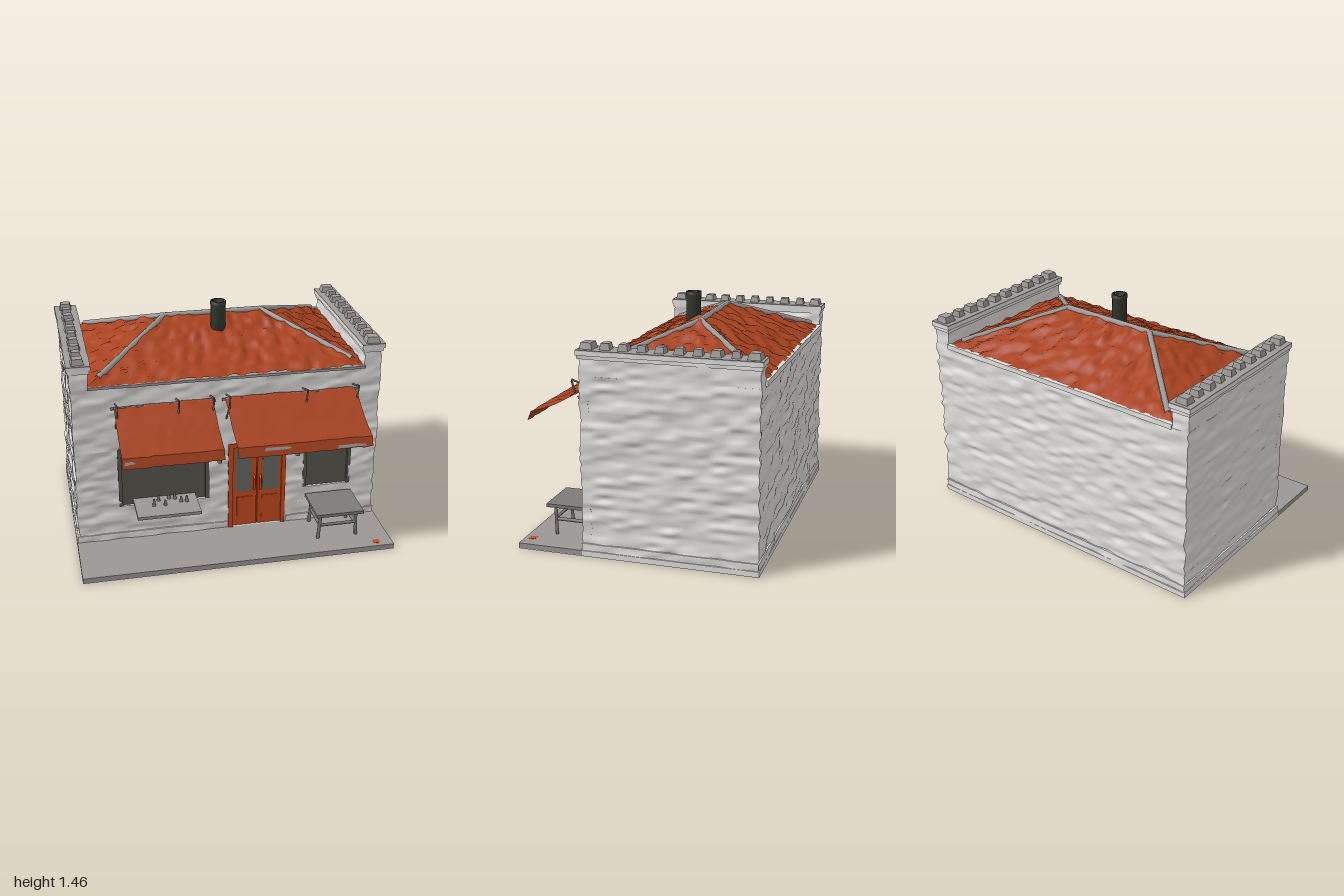
import * as THREE from 'three';

const mat = (name, color, side = THREE.FrontSide) =>
  Object.assign(new THREE.MeshStandardMaterial({ color, side }), { name });

// Smooth seeded value noise, about -1..1
const hash = (x, y, z) => {
  const s = Math.sin(x * 127.1 + y * 311.7 + z * 74.7) * 43758.5453;
  return (s - Math.floor(s)) * 2 - 1;
};
function noise(x, y, z) {
  const i = [x, y, z].map(Math.floor);
  const [u, v, w] = [x - i[0], y - i[1], z - i[2]].map(t => t * t * (3 - 2 * t));
  let sum = 0;
  for (let a = 0; a < 2; a++) for (let b = 0; b < 2; b++) for (let c = 0; c < 2; c++)
    sum += hash(i[0] + a, i[1] + b, i[2] + c) * (a ? u : 1 - u) * (b ? v : 1 - v) * (c ? w : 1 - w);
  return sum;
}

export function createModel() {
  const stone = mat('stone', 0xe2e0de);
  const paving = mat('paving', 0x9b9795);
  const trim = mat('trim', 0xa09c99, THREE.DoubleSide);
  const roofTile = mat('roofTile', 0xa84220, THREE.DoubleSide);
  const canvas = mat('canvas', 0xa34121, THREE.DoubleSide);
  const doorPaint = mat('doorPaint', 0xc64a20);
  const glass = mat('glass', 0x5a574d);
  const doorGlass = mat('doorGlass', 0x686962);
  const iron = mat('iron', 0x34362d);
  const wood = mat('wood', 0x7e7a77);

  const model = new THREE.Group();
  model.name = 'shop';
  const add = (name, geo, material, parent = model) => {
    const m = new THREE.Mesh(geo, material);
    m.name = name;
    parent.add(m);
    return m;
  };
  const group = name => {
    const g = new THREE.Group();
    g.name = name;
    model.add(g);
    return g;
  };
  // Box given by its limits
  const box = (name, x0, x1, y0, y1, z0, z1, material, parent) => {
    const g = new THREE.BoxGeometry(x1 - x0, y1 - y0, z1 - z0);
    g.translate((x0 + x1) / 2, (y0 + y1) / 2, (z0 + z1) / 2);
    return add(name, g, material, parent);
  };
  // Box whose sides undulate like coursed rubble
  const stoneBox = (name, x0, x1, y0, y1, z0, z1, material, amp, parent) => {
    const n = (d, s) => Math.max(1, Math.round(d / s));
    const g = new THREE.BoxGeometry(x1 - x0, y1 - y0, z1 - z0,
      n(x1 - x0, 0.025), n(y1 - y0, 0.014), n(z1 - z0, 0.025));
    g.translate((x0 + x1) / 2, (y0 + y1) / 2, (z0 + z1) / 2);
    const p = g.attributes.position;
    for (let i = 0; i < p.count; i++) {
      const x = p.getX(i), y = p.getY(i), z = p.getZ(i);
      p.setX(i, x + amp * noise(x * 10, y * 30, z * 10));
      p.setZ(i, z + amp * noise(x * 10 + 40, y * 30, z * 10));
    }
    g.computeVertexNormals();
    return add(name, g, material, parent);
  };
  // Bilinear patch a-b (lower edge), d-c (upper edge), with bumps in y
  const patch = (name, a, b, c, d, nu, nv, amp, material, parent) => {
    const pos = [], idx = [];
    for (let j = 0; j <= nv; j++) for (let i = 0; i <= nu; i++) {
      const u = i / nu, v = j / nv;
      const [x, y, z] = [0, 1, 2].map(k =>
        (a[k] * (1 - u) + b[k] * u) * (1 - v) + (d[k] * (1 - u) + c[k] * u) * v);
      pos.push(x, y + amp * noise(x * 26, 5, z * 20), z);
      if (i < nu && j < nv) {
        const k = j * (nu + 1) + i;
        idx.push(k, k + 1, k + nu + 2, k, k + nu + 2, k + nu + 1);
      }
    }
    const g = new THREE.BufferGeometry();
    g.setAttribute('position', new THREE.Float32BufferAttribute(pos, 3));
    g.setIndex(idx);
    g.computeVertexNormals();
    return add(name, g, material, parent);
  };
  const rod = (name, pts, r, material, parent) => {
    const path = new THREE.CurvePath();
    const v = pts.map(p => new THREE.Vector3(...p));
    for (let i = 1; i < v.length; i++) path.add(new THREE.LineCurve3(v[i - 1], v[i]));
    return add(name, new THREE.TubeGeometry(path, 8 * (v.length - 1), r, 6), material, parent);
  };

  // Foundation, pavement and base course
  box('foundation', -0.99, 0.99, 0, 0.035, -0.74, 0.34, stone);
  box('pavement', -0.99, 0.99, 0.004, 0.035, 0.34, 0.75, paving);
  box('pavementUnderside', -0.99, 0.99, 0, 0.004, 0.34, 0.75, stone);
  box('pavementMark', 0.87, 0.91, 0.035, 0.037, 0.68, 0.72, doorPaint);
  stoneBox('baseCourse', -0.985, 0.985, 0.036, 0.08, -0.738, 0.3, stone, 0.006);
  for (const [x0, x1] of [[-0.985, -0.01], [0.38, 0.985]])
    stoneBox('frontBaseCourse', x0, x1, 0.036, 0.08, 0.28, 0.344, stone, 0.006);

  // Walls, with a front skin built around the openings
  stoneBox('walls', -0.975, 0.975, 0.036, 1.1, -0.73, 0.295, stone, 0.012);
  const front = group('frontWall');
  [[-0.975, 0.975, 0.67, 1.1], [-0.975, -0.70, 0.036, 0.67], [-0.70, -0.14, 0.036, 0.27],
    [-0.14, 0, 0.036, 0.67], [0, 0.37, 0.64, 0.67], [0.37, 0.50, 0.036, 0.67],
    [0.50, 0.80, 0.036, 0.28], [0.80, 0.975, 0.036, 0.67]]
    .forEach(([x0, x1, y0, y1]) => stoneBox('frontStone', x0, x1, y0, y1, 0.28, 0.337, stone, 0.01, front));

  // Shop windows
  for (const [x0, x1, y0] of [[-0.70, -0.14, 0.27], [0.50, 0.80, 0.28]]) {
    const f = group('window');
    box('windowGlass', x0 - 0.01, x1 + 0.01, y0 - 0.01, 0.68, 0.3, 0.322, glass, f);
    box('frameSide', x0 - 0.01, x0 + 0.014, y0, 0.67, 0.3, 0.342, glass, f);
    box('frameSide', x1 - 0.014, x1 + 0.01, y0, 0.67, 0.3, 0.342, glass, f);
    box('frameTop', x0, x1, 0.655, 0.68, 0.3, 0.342, glass, f);
  }

  // Double door
  const door = group('door');
  box('doorFrame', -0.005, 0.372, 0.035, 0.645, 0.29, 0.32, doorPaint, door);
  for (const [x0, x1] of [[-0.005, 0.025], [0.345, 0.372]])
    box('jamb', x0, x1, 0.035, 0.645, 0.3, 0.348, doorPaint, door);
  box('lintel', -0.005, 0.372, 0.615, 0.645, 0.3, 0.348, doorPaint, door);
  for (const s of [-1, 1]) {
    const cx = 0.185 + s * 0.083, gx = cx + s * 0.006;
    box('leaf', cx - 0.08, cx + 0.08, 0.04, 0.615, 0.3, 0.336, doorPaint, door);
    box('doorPane', gx - 0.054, gx + 0.054, 0.29, 0.6, 0.333, 0.339, doorGlass, door);
    box('lowerPanel', cx - 0.05, cx + 0.05, 0.08, 0.25, 0.33, 0.341, doorPaint, door);
    rod('handle', [[0.185 + s * 0.02, 0.3, 0.336], [0.185 + s * 0.02, 0.31, 0.355],
      [0.185 + s * 0.02, 0.39, 0.355], [0.185 + s * 0.02, 0.4, 0.336]], 0.008, doorPaint, door);
  }

  // Parapets with cap and rough merlons
  for (const s of [-1, 1]) {
    const span = (a, b) => (s > 0 ? [a, b] : [-b, -a]);
    const g = group('parapet');
    stoneBox('parapetWall', ...span(0.865, 0.975), 1.08, 1.22, -0.73, 0.338, stone, 0.009, g);
    stoneBox('corbel', ...span(0.855, 0.984), 1.2, 1.225, -0.737, 0.345, stone, 0.004, g);
    stoneBox('cap', ...span(0.845, 0.992), 1.222, 1.248, -0.743, 0.35, stone, 0.003, g);
    stoneBox('capTop', ...span(0.845, 0.992), 1.248, 1.254, -0.743, 0.35, trim, 0.003, g);
    for (let i = 0; i < 10; i++) {
      const end = i === 0 || i === 9;
      const r = (end ? 0.056 : 0.045) + 0.005 * hash(i, s, 2);
      const geo = new THREE.CylinderGeometry(r * 0.75, r, 0.044, 4, 1).toNonIndexed();
      geo.rotateY(Math.PI / 4);
      geo.computeVertexNormals();
      const m = add('merlon', geo, trim, g);
      m.position.set(s * 0.92, 1.27, 0.295 - i * 0.109);
      m.scale.set(1.1, 1, end ? 1 : 0.95);
      m.rotation.y = 0.12 * hash(i, s, 7);
    }
  }

  // Hipped roof
  const roof = group('roof');
  const E = 1.115, R = 1.342, X = 0.87, F = 0.345, B = -0.735, zr = -0.2, xr = 0.32;
  const fl = [-X, E, F], fr = [X, E, F], bl = [-X, E, B], br = [X, E, B];
  const rl = [-xr, R, zr], rr = [xr, R, zr];
  patch('frontSlope', fl, fr, rr, rl, 64, 26, 0.017, roofTile, roof);
  patch('backSlope', br, bl, rl, rr, 64, 26, 0.017, roofTile, roof);
  patch('leftHip', fr, br, rr, rr, 44, 24, 0.017, roofTile, roof);
  patch('rightHip', bl, fl, rl, rl, 44, 24, 0.017, roofTile, roof);
  rod('ridge', [[-xr, R - 0.006, zr], [xr, R - 0.006, zr]], 0.019, trim, roof);
  for (const s of [-1, 1]) for (const z of [0.275, -0.675])
    rod('hipCap', [[s * xr, R - 0.006, zr], [s * 0.8, E + 0.028, z]], 0.019, trim, roof);
  stoneBox('frontEave', -0.87, 0.87, 1.095, 1.112, 0.28, 0.35, trim, 0.004, roof);
  stoneBox('backEave', -0.87, 0.87, 1.09, 1.122, -0.742, -0.715, stone, 0.005, roof);

  // Chimney pipe
  const pipe = [[0, 1.22], [0.047, 1.22], [0.047, 1.43], [0.05, 1.435], [0.05, 1.46], [0.034, 1.46], [0.034, 1.4], [0, 1.4]];
  add('chimney', new THREE.LatheGeometry(pipe.map(p => new THREE.Vector2(...p)), 14), iron).position.set(0.01, 0, -0.065);

  // Awnings with valance and iron brackets
  const fold = [[0.975, 0.345], [0.945, 0.43], [0.872, 0.56], [0.815, 0.725], [0.755, 0.748]];
  for (const [x0, x1] of [[-0.72, -0.11], [-0.03, 0.805]]) {
    const g = group('awning');
    for (let i = 0; i < fold.length - 1; i++) {
      const [y1, z1] = fold[i], [y0, z0] = fold[i + 1];
      patch('awningCloth', [x0, y0, z0], [x1, y0, z0], [x1, y1, z1], [x0, y1, z1], 16, 3, 0.005, canvas, g);
    }
    for (const x of [x0 + 0.01, (x0 + x1) / 2 + 0.08, x1 - 0.01]) {
      rod('bracket', [[x, 0.99, 0.34], [x, 1.03, 0.46], [x, 0.94, 0.435]], 0.006, wood, g);
      rod('strut', [[x, 0.83, 0.345], [x, 0.93, 0.42]], 0.006, wood, g);
    }
    rod('topRail', [[x0 - 0.02, 0.965, 0.352], [x1 + 0.02, 0.965, 0.352]], 0.008, wood, g);
  }
  // Worn grey streaks on the valances
  for (const [x0, x1, y] of [[0.13, 0.3, 0.796], [0.58, 0.77, 0.772], [-0.71, -0.64, 0.79]]) {
    const z = 0.752 - (y - 0.755) * 0.38;
    patch('wornEdge', [x0, y - 0.01, z + 0.004], [x1, y - 0.006, z + 0.004],
      [x1 - 0.02, y + 0.008, z], [x0 + 0.01, y + 0.01, z], 6, 1, 0.003, trim);
  }

  // Wall lamps beside the door
  for (const x of [-0.07, 0.44]) {
    const g = group('lamp');
    const shade = new THREE.CylinderGeometry(0.024, 0.014, 0.09, 8);
    add('lampShade', shade, wood, g).position.set(x, 0.585, 0.38);
    rod('lampArm', [[x, 0.62, 0.335], [x, 0.645, 0.36], [x, 0.62, 0.38]], 0.008, wood, g);
  }

  // Window shelf with small goods
  const shelf = group('shelf');
  box('shelfBoard', -0.62, -0.22, 0.288, 0.308, 0.32, 0.56, paving, shelf);
  for (let i = 0; i < 7; i++) {
    const h = 0.045 + 0.012 * hash(i, 1, 1);
    add('goods', new THREE.CylinderGeometry(0.006, 0.013, h, 6), wood, shelf)
      .position.set(-0.5 + i * 0.035, 0.308 + h / 2, 0.41 + 0.05 * hash(i, 4, 2));
  }

  // Table
  const table = group('table');
  box('tableTop', 0.505, 0.815, 0.215, 0.236, 0.355, 0.64, wood, table);
  for (const x of [0.545, 0.775]) {
    const out = Math.sign(x - 0.66) * 0.012;
    for (const z of [0.385, 0.595])
      rod('tableLeg', [[x, 0.22, z], [x + out, 0.034, z - 0.01]], 0.011, wood, table);
    rod('sideStretcher', [[x, 0.13, 0.385], [x, 0.13, 0.595]], 0.012, wood, table);
  }
  for (const z of [0.385, 0.595])
    rod('longStretcher', [[0.545, 0.135, z], [0.775, 0.135, z]], 0.01, wood, table);

  return model;
}
